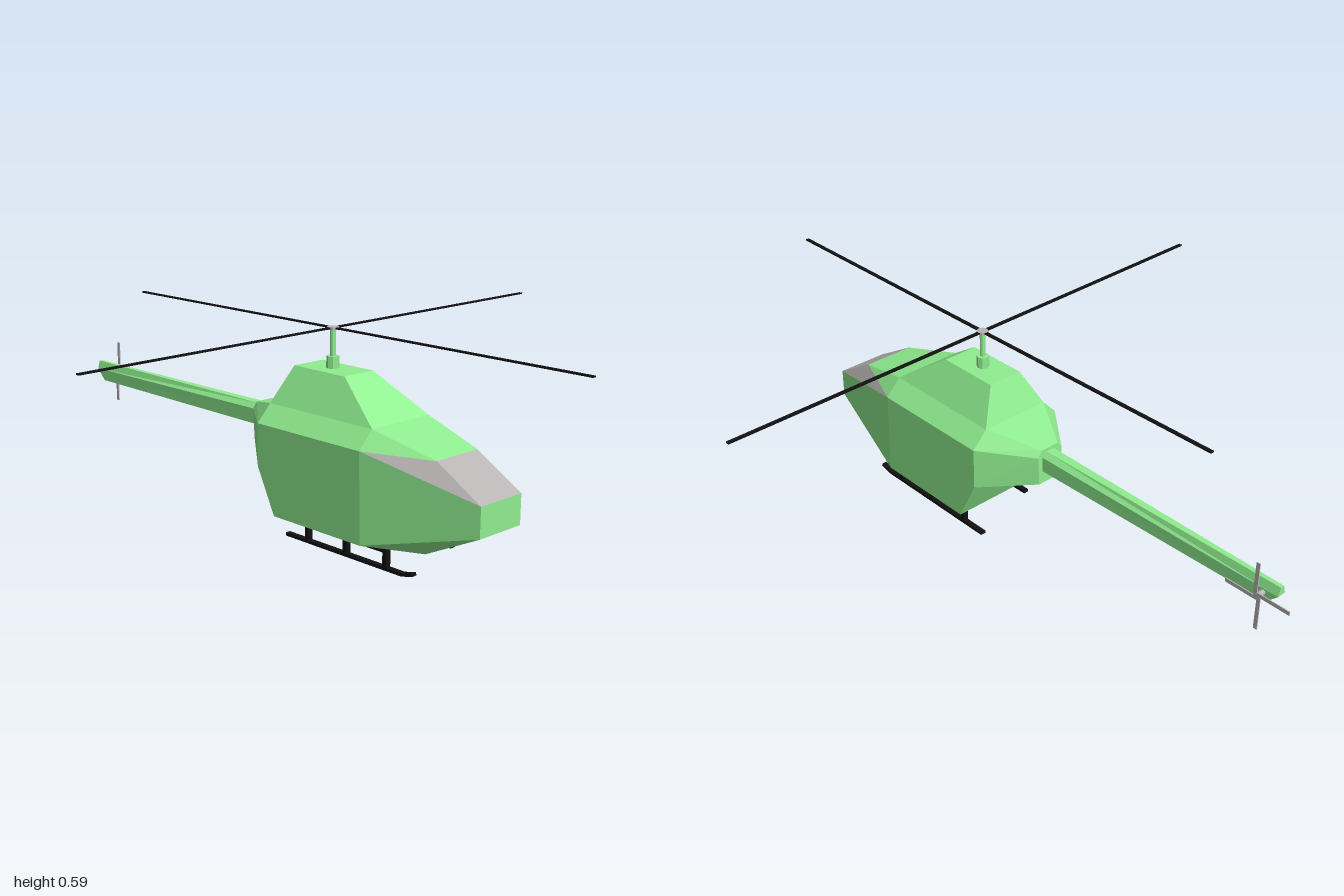
import * as THREE from 'three';

const mat = (color) => new THREE.MeshStandardMaterial({ color, flatShading: true });
const green = mat(0x90ee90), grey = mat(0xb8b4b4), black = mat(0x111111);

// Facets of a convex-like shell: every triangle is turned to face away from the centre
function shell(name, polygons, centre, material) {
  const pos = [];
  const c = new THREE.Vector3(...centre);
  for (const poly of polygons) {
    const v = poly.map((p) => new THREE.Vector3(...p));
    for (let i = 1; i < v.length - 1; i++) {
      const t = new THREE.Triangle(v[0], v[i], v[i + 1]);
      const n = t.getNormal(new THREE.Vector3());
      const out = t.getMidpoint(new THREE.Vector3()).sub(c);
      const order = n.dot(out) < 0 ? [t.a, t.c, t.b] : [t.a, t.b, t.c];
      for (const p of order) pos.push(p.x, p.y, p.z);
    }
  }
  const g = new THREE.BufferGeometry();
  g.setAttribute('position', new THREE.Float32BufferAttribute(pos, 3));
  g.computeVertexNormals();
  const mesh = new THREE.Mesh(g, material);
  mesh.name = name;
  return mesh;
}

const flip = ([x, y, z]) => [x, y, -z];
const bothSides = (polys) => polys.flatMap((p) => [p, p.map(flip)]);
// Quads spanning from each edge of a path to its mirror image
const across = (path) => path.slice(1).map((p, i) => [path[i], p, flip(p), flip(path[i])]);

function part(name, geometry, material, x, y, z) {
  const mesh = new THREE.Mesh(geometry, material);
  mesh.name = name;
  mesh.position.set(x, y, z);
  return mesh;
}

function createFuselage() {
  const neckTop = [-0.13, 0.33, 0.03], neckMid = [-0.13, 0.31, 0.045], neckLow = [-0.13, 0.22, 0.04];
  const shoulderRear = [0.015, 0.365, 0.11], shoulderFront = [0.405, 0.365, 0.11];
  const roofRear = [0.055, 0.47, 0.055], roofFront = [0.25, 0.47, 0.055];
  const waistRear = [0.015, 0.315, 0.157], waistFront = [0.405, 0.315, 0.157];
  const brow = [0.6, 0.315, 0.08], noseTop = [0.745, 0.23, 0.08], noseLow = [0.745, 0.145, 0.08];
  const chin = [0.57, 0.06, 0.08], hipFront = [0.41, 0.06, 0.157], hipRear = [0.08, 0.06, 0.157];
  const rearLow = [0.015, 0.19, 0.157];
  const centre = [0.25, 0.25, 0];

  const body = [
    ...across([neckTop, shoulderRear, roofRear, roofFront, shoulderFront, brow]),
    ...across([noseTop, noseLow, chin, hipFront, hipRear, rearLow, neckLow, neckTop]),
    ...bothSides([
      [neckTop, neckMid, neckLow],
      [neckTop, shoulderRear, waistRear, neckMid],
      [neckMid, waistRear, rearLow, neckLow],
      [shoulderRear, roofRear, roofFront, shoulderFront],
      [shoulderRear, shoulderFront, waistFront, waistRear],
      [shoulderFront, brow, waistFront],
      [waistRear, waistFront, hipFront, hipRear, rearLow],
      [waistFront, noseTop, noseLow, hipFront],
      [hipFront, noseLow, chin],
    ]),
  ];
  const glass = [...across([brow, noseTop]), ...bothSides([[brow, noseTop, waistFront]])];
  const group = new THREE.Group();
  group.name = 'fuselage';
  group.add(shell('cabin', body, centre, green), shell('windshield', glass, centre, grey));
  return group;
}

function createTailBoom() {
  const rootTop = [-0.13, 0.32, 0.014], rootMid = [-0.13, 0.305, 0.028], rootLow = [-0.13, 0.26, 0.028];
  const tipTop = [-0.945, 0.32, 0.006], tipMid = [-0.945, 0.295, 0.013], tipLow = [-0.91, 0.26, 0.013];
  return shell('tailBoom', [
    ...across([rootTop, tipTop, tipMid, tipLow, rootLow, rootTop]),
    ...bothSides([
      [rootTop, rootMid, rootLow],
      [rootTop, tipTop, tipMid, rootMid],
      [rootMid, tipMid, tipLow, rootLow],
    ]),
  ], [-0.5, 0.29, 0], green);
}

function createMainRotor() {
  const rotor = new THREE.Group();
  rotor.name = 'mainRotor';
  rotor.position.set(0.15, 0, 0);
  rotor.add(part('mastBase', new THREE.CylinderGeometry(0.018, 0.018, 0.035, 8), green, 0, 0.487, 0));
  rotor.add(part('mast', new THREE.CylinderGeometry(0.008, 0.008, 0.08, 8), green, 0, 0.54, 0));
  rotor.add(part('hub', new THREE.CylinderGeometry(0.017, 0.017, 0.008, 8), grey, 0, 0.581, 0));
  for (let i = 0; i < 4; i++) {
    const blade = part('rotorBlade', new THREE.BoxGeometry(0.83, 0.004, 0.011).translate(0.425, 0, 0), black, 0, 0.582, 0);
    blade.rotation.y = i * Math.PI / 2 + 0.009;
    rotor.add(blade);
  }
  return rotor;
}

function createTailRotor() {
  const rotor = new THREE.Group();
  rotor.name = 'tailRotor';
  rotor.position.set(-0.9, 0.284, -0.037);
  const shaft = part('tailRotorShaft', new THREE.CylinderGeometry(0.008, 0.008, 0.03, 8), grey, 0, 0, 0.013);
  shaft.rotation.x = Math.PI / 2;
  rotor.add(shaft);
  // Each blade sits a little off the axis
  for (let i = 0; i < 4; i++) {
    const blade = part('tailRotorBlade', new THREE.BoxGeometry(0.098, 0.011, 0.003).translate(0.05, -0.006, 0), grey, 0, 0, 0);
    blade.rotation.z = i * Math.PI / 2;
    rotor.add(blade);
  }
  return rotor;
}

// Runner with upturned toe, three struts and a bar under the belly
function createSkid(name, x, z) {
  const skid = new THREE.Group();
  skid.name = name;
  skid.position.set(x, 0, z);
  const w = 0.016;
  skid.add(part('runner', new THREE.BoxGeometry(0.435, 0.009, w), black, 0.2175, 0.0045, 0));
  const toe = part('toe', new THREE.BoxGeometry(0.042, 0.009, w), black, 0.452, 0.009, 0);
  toe.rotation.z = 0.25;
  skid.add(toe);
  skid.add(part('topBar', new THREE.BoxGeometry(0.305, 0.012, w), black, 0.23, 0.054, 0));
  for (const sx of [0.084, 0.23, 0.375]) {
    skid.add(part('strut', new THREE.BoxGeometry(0.014, 0.05, w), black, sx, 0.03, 0));
  }
  return skid;
}

export function createModel() {
  const model = new THREE.Group();
  model.name = 'helicopter';
  model.add(
    createFuselage(), createTailBoom(), createMainRotor(), createTailRotor(),
    createSkid('skidFrontSide', 0.095, 0.118), createSkid('skidBackSide', 0.025, -0.118),
  );
  return model;
}
